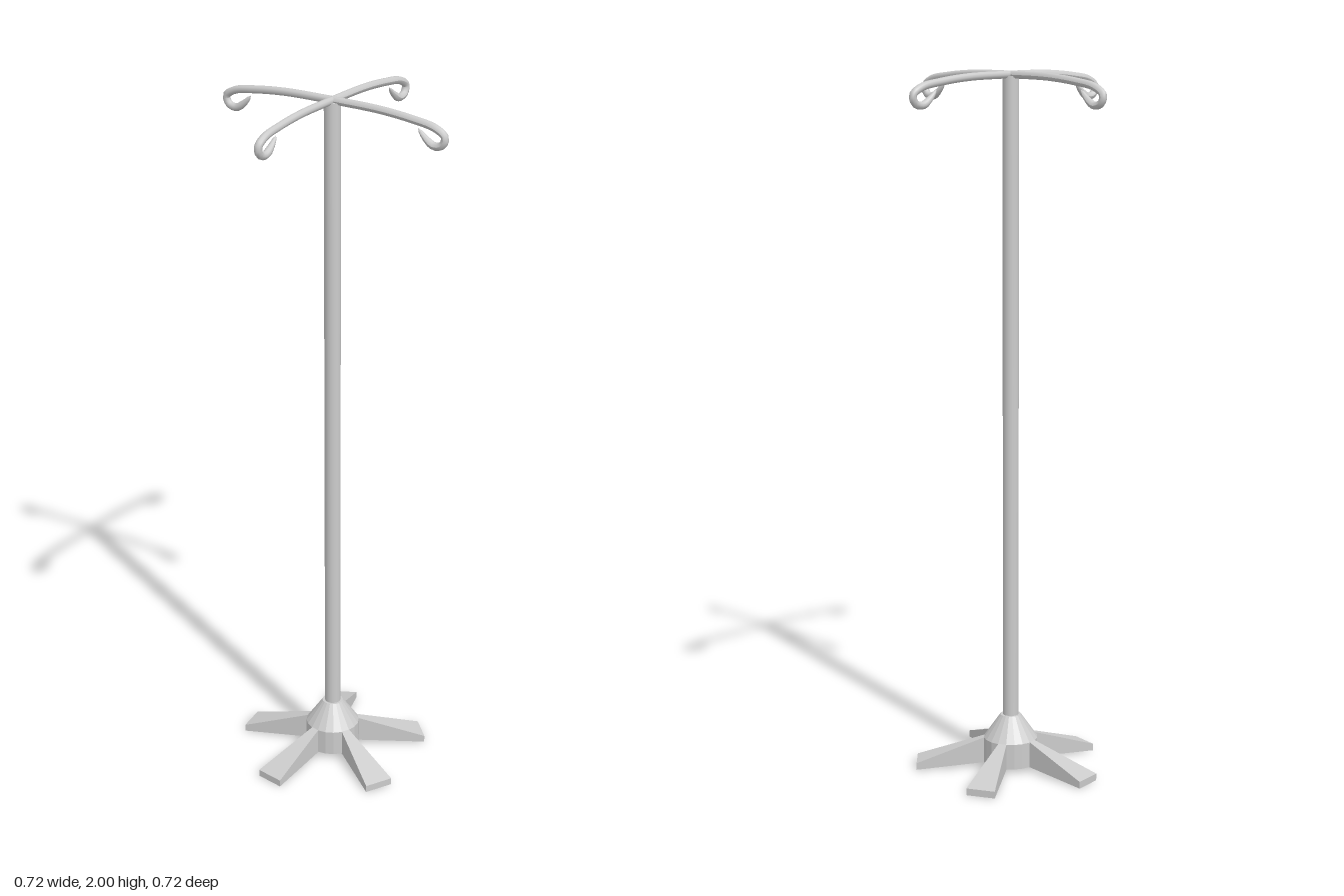
import * as THREE from 'three';

const POLE_Z = 0.013;

// One half of a hook rod in the xy plane: runs out along +x and curls back under
function hookGeometry(reach) {
  const pts = [
    [0, 1.989], [0.15, 1.987], [0.25, 1.978], [0.318, 1.966], [0.348, 1.946],
    [0.34, 1.924], [0.315, 1.918], [0.288, 1.935], [0.266, 1.958],
  ].map(([x, y]) => new THREE.Vector3(x * reach / 0.348, y, 0));
  const curve = new THREE.CatmullRomCurve3(pts);
  const rings = 48, sides = 10;
  const geo = new THREE.TubeGeometry(curve, rings, 0.0108, sides);
  // taper the last rings to a blunt tip
  const pos = geo.attributes.position;
  const v = new THREE.Vector3();
  for (let i = rings - 4; i <= rings; i++) {
    const c = curve.getPointAt(i / rings);
    const k = Math.sqrt((rings - i) / 5);
    for (let j = 0; j <= sides; j++) {
      const n = i * (sides + 1) + j;
      v.fromBufferAttribute(pos, n).sub(c).multiplyScalar(k).add(c);
      pos.setXYZ(n, v.x, v.y, v.z);
    }
  }
  geo.computeVertexNormals();
  return geo;
}

// Wedge foot along +x: widens outward while its top slopes down
function footGeometry() {
  const inner = 0.03, outer = 0.272;
  const geo = new THREE.BoxGeometry(1, 1, 1);
  const pos = geo.attributes.position;
  for (let i = 0; i < pos.count; i++) {
    const out = pos.getX(i) > 0, up = pos.getY(i) > 0;
    const half = out ? 0.042 : 0.005;
    const y = out ? (up ? 0.02 : 0) : (up ? 0.105 : 0.016);
    pos.setXYZ(i, out ? outer : inner, y, Math.sign(pos.getZ(i)) * half);
  }
  geo.computeVertexNormals();
  return geo;
}

export function createModel() {
  const model = new THREE.Group();
  const smooth = new THREE.MeshStandardMaterial({ color: 0xcccccc });
  const flat = new THREE.MeshStandardMaterial({ color: 0xcccccc, flatShading: true });
  const add = (name, geo, mat, parent = model) => {
    const mesh = new THREE.Mesh(geo, mat);
    mesh.name = name;
    parent.add(mesh);
    return mesh;
  };

  // Upright pole
  const pole = add('pole', new THREE.CylinderGeometry(0.0228, 0.0228, 1.845, 20), smooth);
  pole.position.set(0, 0.14 + 1.845 / 2, POLE_Z);

  // Hub: short drum with a cone on top
  const hub = add('hub', new THREE.LatheGeometry([
    [0, 0.014], [0.078, 0.014], [0.078, 0.088], [0.03, 0.157], [0, 0.157],
  ].map(([r, y]) => new THREE.Vector2(r, y)), 20), flat);
  hub.position.z = POLE_Z;

  // Five splayed feet
  const feet = new THREE.Group();
  feet.name = 'feet';
  feet.position.z = POLE_Z;
  model.add(feet);
  const foot = footGeometry();
  for (let i = 0; i < 5; i++) {
    add('foot', foot, flat, feet).rotation.y = THREE.MathUtils.degToRad(45.5 + 72 * i);
  }

  // Four hooks crossing at the top of the pole
  const hooks = new THREE.Group();
  hooks.name = 'hooks';
  hooks.position.z = POLE_Z - 0.001;
  model.add(hooks);
  [0.348, 0.36, 0.348, 0.336].forEach((reach, i) => {
    add('hook', hookGeometry(reach), smooth, hooks).rotation.y = i * Math.PI / 2;
  });
  return model;
}
